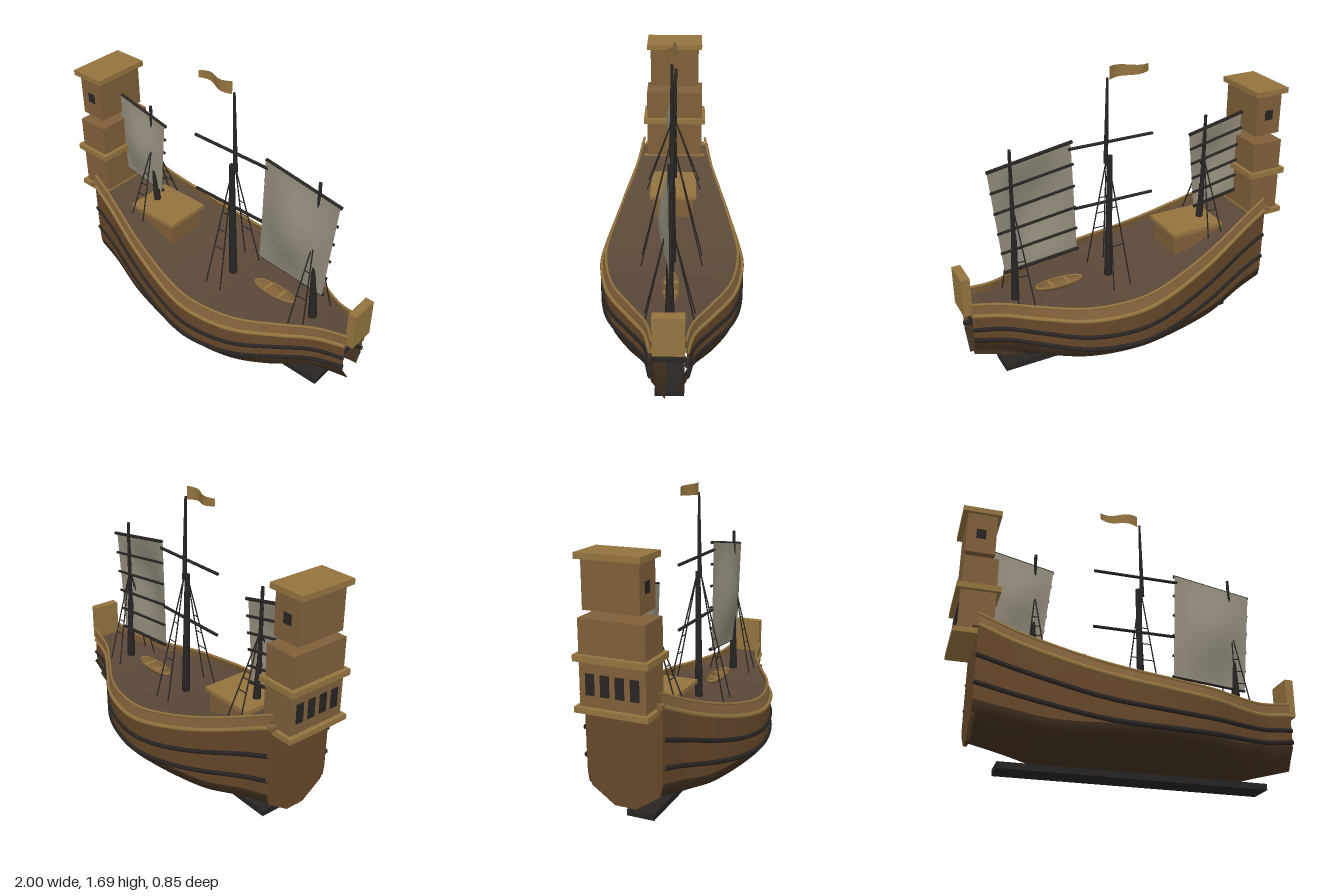
import * as THREE from 'three';

const mat = (color) => new THREE.MeshStandardMaterial({ color, side: THREE.DoubleSide });
const gold = mat(0x94743f), wood = mat(0x80603a), hullWood = mat(0x664729), hullDark = mat(0x423120);
const black = mat(0x282523), cloth = mat(0x918b7b), deckWood = mat(0x5a4838);
const V = (x, y, z) => new THREE.Vector3(x, y, z);

// Smooth interpolation through [x, value] pairs
function smooth(pts) {
  const slope = (i) => {
    const a = pts[Math.max(i - 1, 0)], b = pts[Math.min(i + 1, pts.length - 1)];
    return (b[1] - a[1]) / (b[0] - a[0]);
  };
  return (x) => {
    let i = 0;
    while (i < pts.length - 2 && x > pts[i + 1][0]) i++;
    const h = pts[i + 1][0] - pts[i][0], t = (x - pts[i][0]) / h, t2 = t * t, t3 = t2 * t;
    return (2 * t3 - 3 * t2 + 1) * pts[i][1] + (t3 - 2 * t2 + t) * h * slope(i)
      + (3 * t2 - 2 * t3) * pts[i + 1][1] + (t3 - t2) * h * slope(i + 1);
  };
}

// Hull lines along x: half breadth, rail height, bottom height and the two wales
const X0 = -0.87, X1 = 0.96, N = 40;
const breadth = smooth([[X0, 0.215], [-0.7, 0.247], [-0.4, 0.33], [0, 0.41], [0.2, 0.4], [0.4, 0.345], [0.6, 0.23], [0.78, 0.13], [X1, 0.093]]);
const rail = smooth([[X0, 0.785], [-0.6, 0.66], [-0.3, 0.55], [0, 0.478], [0.3, 0.456], [0.65, 0.47], [X1, 0.515]]);
const bottom = smooth([[X0, 0.135], [-0.72, 0.1], [-0.45, 0.035], [0, 0.025], [0.55, 0.03], [0.75, 0.08], [X1, 0.135]]);
const wales = [
  smooth([[X0, 0.545], [-0.2, 0.32], [0.3, 0.275], [X1, 0.355]]),
  smooth([[X0, 0.395], [-0.2, 0.21], [0.3, 0.19], [X1, 0.285]]),
];
const deckHeight = (x) => rail(x) - 0.052;

// Cross-section from rail to bottom on one side (s = 1 or -1)
function section(x, s) {
  const w = breadth(x), r = rail(x), b = bottom(x);
  const inner = s > 0 ? 0.02 : Math.min(0.1, w * 0.75), lift = s > 0 ? 0 : 0.042;
  return [[w * 0.94, r], [w, r - 0.07], [w, (r + b) / 2], [w * 0.99, b + 0.17], [w * 0.95, b + 0.115],
    [w * 0.6, b + 0.065], [inner, b + lift]].map(([z, y]) => V(x, y, z * s));
}

// Surface through rows of points
function surface(rows, flip) {
  const m = rows[0].length, idx = [];
  for (let i = 0; i < rows.length - 1; i++) for (let j = 0; j < m - 1; j++) {
    const a = i * m + j, b = a + 1, c = a + m, d = c + 1;
    idx.push(...(flip ? [a, c, b, b, c, d] : [a, b, c, b, d, c]));
  }
  const g = new THREE.BufferGeometry().setFromPoints(rows.flat());
  g.setIndex(idx);
  g.computeVertexNormals();
  return g;
}
const stations = Array.from({ length: N + 1 }, (_, i) => X0 + (X1 - X0) * i / N);

function add(parent, name, geo, material, x = 0, y = 0, z = 0) {
  const m = new THREE.Mesh(geo, material);
  m.name = name;
  m.position.set(x, y, z);
  parent.add(m);
  return m;
}
// Box given by its limits
const box = (p, name, m, x0, x1, y0, y1, z0, z1) =>
  add(p, name, new THREE.BoxGeometry(x1 - x0, y1 - y0, z1 - z0), m, (x0 + x1) / 2, (y0 + y1) / 2, (z0 + z1) / 2);
const tube = (p, name, pts, r, m) =>
  add(p, name, new THREE.TubeGeometry(new THREE.CatmullRomCurve3(pts), 40, r, 6), m);
// Tapered round pole between two points
function pole(p, name, a, b, r0, r1, sides = 8) {
  const mesh = add(p, name, new THREE.CylinderGeometry(r1, r0, a.distanceTo(b), sides), black);
  mesh.position.copy(a).lerp(b, 0.5);
  mesh.quaternion.setFromUnitVectors(V(0, 1, 0), b.clone().sub(a).normalize());
}

function buildHull(root) {
  const hull = new THREE.Group();
  hull.name = 'hull';
  root.add(hull);
  for (const s of [1, -1]) {
    const secs = stations.map((x) => section(x, s));
    for (const [name, a, b, m] of [['bulwark', 0, 1, wood], ['sidePlanking', 1, 3, hullWood], ['bottomPlanking', 3, 6, hullDark]])
      add(hull, name, surface(secs.map((r) => r.slice(a, b + 1)), s < 0), m);
    tube(hull, 'topRail', secs.map((r) => r[0]), 0.008, gold);
    tube(hull, 'sideRail', secs.map((r) => r[1]), 0.013, gold);
    for (const f of wales) tube(hull, 'wale', stations.map((x) => V(x, f(x), breadth(x) * s)), 0.014, black);
    box(hull, 'railEnd', wood, -0.9, -0.86, 0.705, 0.73, s * 0.21 - 0.015, s * 0.21 + 0.015);
  }
  add(hull, 'deck', surface(stations.map((x) => [-1, 0, 1].map((k) => V(x, deckHeight(x), k * breadth(x) * 0.97)))), deckWood);

  // Stern wall, drawn across z and y; the bow end stays open below its board
  const outline = [[-0.215, 0.71], [-0.21, 0.3], [-0.19, 0.23], [-0.06, 0.14], [0.06, 0.14], [0.19, 0.23], [0.21, 0.3], [0.215, 0.71]];
  const shape = new THREE.Shape(outline.map(([z, y]) => new THREE.Vector2(z, y)));
  add(hull, 'transom', new THREE.ExtrudeGeometry(shape, { depth: 0.02, bevelEnabled: false }), hullWood, X0).rotation.y = Math.PI / 2;
  box(hull, 'bowBeam', black, 0.93, 0.955, 0.37, 0.395, -0.09, 0.09);
  box(hull, 'bowBoard', gold, 0.95, 1, 0.445, 0.675, -0.082, 0.082);
  box(hull, 'keel', black, -0.71, 0.785, 0, 0.035, -0.08, 0.08);
}

function buildTower(root) {
  const t = new THREE.Group();
  t.name = 'sternTower';
  root.add(t);
  box(t, 'lowerCabin', wood, -0.975, -0.785, 0.69, 1.14, -0.178, 0.178);
  box(t, 'baseLedge', gold, -1, -0.78, 0.67, 0.7, -0.2, 0.2);
  box(t, 'middleLedge', gold, -1, -0.762, 0.93, 0.963, -0.2, 0.2);
  box(t, 'upperCabin', wood, -0.97, -0.805, 1.18, 1.43, -0.152, 0.152);
  box(t, 'roof', gold, -1, -0.783, 1.426, 1.457, -0.173, 0.173);
  box(t, 'sideWindows', black, -0.917, -0.863, 1.27, 1.33, -0.153, 0.153);
  for (let i = 0; i < 4; i++) {
    const z = -0.12 + i * 0.08;
    box(t, 'sternWindow', black, -0.979, -0.97, 0.76, 0.87, z - 0.024, z + 0.024);
  }
}

// Battened sail from corners [x, y]: top left, top right, bottom left, bottom right
function buildSail(root, name, [tl, tr, bl, br], bulge) {
  const g = new THREE.Group();
  g.name = name;
  root.add(g);
  const mix = THREE.MathUtils.lerp, n = 14;
  const at = (u, v, z) => V(mix(mix(tl[0], tr[0], u), mix(bl[0], br[0], u), v), mix(mix(tl[1], tr[1], u), mix(bl[1], br[1], u), v), z);
  const belly = (u, v) => bulge * (Math.sin(Math.PI * u) * Math.sin(Math.PI * v)) ** 1.5;
  const line = Array.from({ length: n + 1 }, (_, i) => i / n);
  add(g, 'sailCloth', surface(line.map((v) => line.map((u) => at(u, v, 0.002 + belly(u, v)))), true), cloth);
  for (let k = 0; k <= 5; k++) {
    const r = k % 5 ? 0.008 : 0.01;
    pole(g, 'batten', at(-0.01, k / 5, -0.008), at(1.01, k / 5, -0.008), r, r);
  }
}

// Rope ladders from the deck up to the mast
function buildShrouds(root, x, top, spreadX, spreadZ) {
  const g = new THREE.Group();
  g.name = 'shrouds';
  root.add(g);
  for (const s of [1, -1]) {
    const head = V(x, top, s * 0.015);
    const feet = [-1, 1].map((k) => V(x + k * spreadX, deckHeight(x), s * spreadZ));
    for (const f of feet) pole(g, 'rope', f, head, 0.004, 0.004, 5);
    for (const t of [0.35, 0.5, 0.65])
      pole(g, 'rung', feet[0].clone().lerp(head, t), feet[1].clone().lerp(head, t), 0.003, 0.003, 5);
  }
}

function buildBoat(root) {
  const boat = new THREE.Group();
  boat.name = 'shipsBoat';
  boat.position.set(0.405, 0.452, 0);
  root.add(boat);
  const shell = add(boat, 'boatShell', new THREE.SphereGeometry(1, 20, 8, 0, Math.PI * 2, Math.PI / 2, Math.PI / 2), wood);
  shell.scale.set(0.14, 0.04, 0.043);
  const rim = add(boat, 'boatRim', new THREE.TorusGeometry(1, 0.06, 6, 24), gold);
  rim.rotation.x = Math.PI / 2;
  rim.scale.set(0.14, 0.045, 0.12);
  for (const x of [-0.05, 0.05]) box(boat, 'bench', gold, x - 0.01, x + 0.01, -0.01, 0, -0.038, 0.038);
}

export function createModel() {
  const root = new THREE.Group();
  root.name = 'sailingShip';
  buildHull(root);
  buildTower(root);

  // Deck house
  box(root, 'hatchBody', wood, -0.6, -0.295, 0.46, 0.635, -0.125, 0.125);
  box(root, 'hatchLid', gold, -0.615, -0.275, 0.632, 0.655, -0.143, 0.143);
  buildBoat(root);

  // Masts and yards
  pole(root, 'mainMastLower', V(0.088, 0.4, 0), V(0.07, 1.18, 0), 0.025, 0.015);
  pole(root, 'mainMastUpper', V(0.096, 1.14, 0), V(0.082, 1.63, 0), 0.014, 0.007);
  pole(root, 'foreMastLower', V(0.678, 0.38, 0), V(0.66, 0.82, 0), 0.027, 0.016);
  pole(root, 'foreMastUpper', V(0.662, 0.78, 0), V(0.654, 1.33, 0), 0.014, 0.009);
  pole(root, 'aftMastLower', V(-0.535, 0.55, 0), V(-0.55, 0.87, 0), 0.025, 0.016);
  pole(root, 'aftMastUpper', V(-0.55, 0.83, 0), V(-0.553, 1.31, 0), 0.014, 0.009);
  for (const [y, x] of [[1.265, 0.32], [0.9, 0.295]])
    pole(root, 'yard', V(-0.2, y, 0), V(x, y, 0), 0.009, 0.009);

  buildSail(root, 'foreSail', [[0.305, 1.31], [0.785, 1.23], [0.285, 0.65], [0.725, 0.61]], 0.06);
  buildSail(root, 'aftSail', [[-0.81, 1.29], [-0.445, 1.21], [-0.825, 0.79], [-0.495, 0.735]], 0.045);

  buildShrouds(root, 0.085, 1.15, 0.055, 0.18);
  buildShrouds(root, 0.655, 0.97, 0.05, 0.135);
  buildShrouds(root, -0.55, 1.03, 0.048, 0.17);

  // Waving pennant
  const flag = Array.from({ length: 13 }, (_, i) => {
    const t = i / 12, x = 0.068 - 0.235 * t, z = 0.02 * Math.sin(t * Math.PI * 2);
    return [V(x, 1.692 - 0.016 * t, z), V(x, 1.617 + 0.016 * t, z)];
  });
  add(root, 'pennant', surface(flag, true), gold);
  return root;
}
